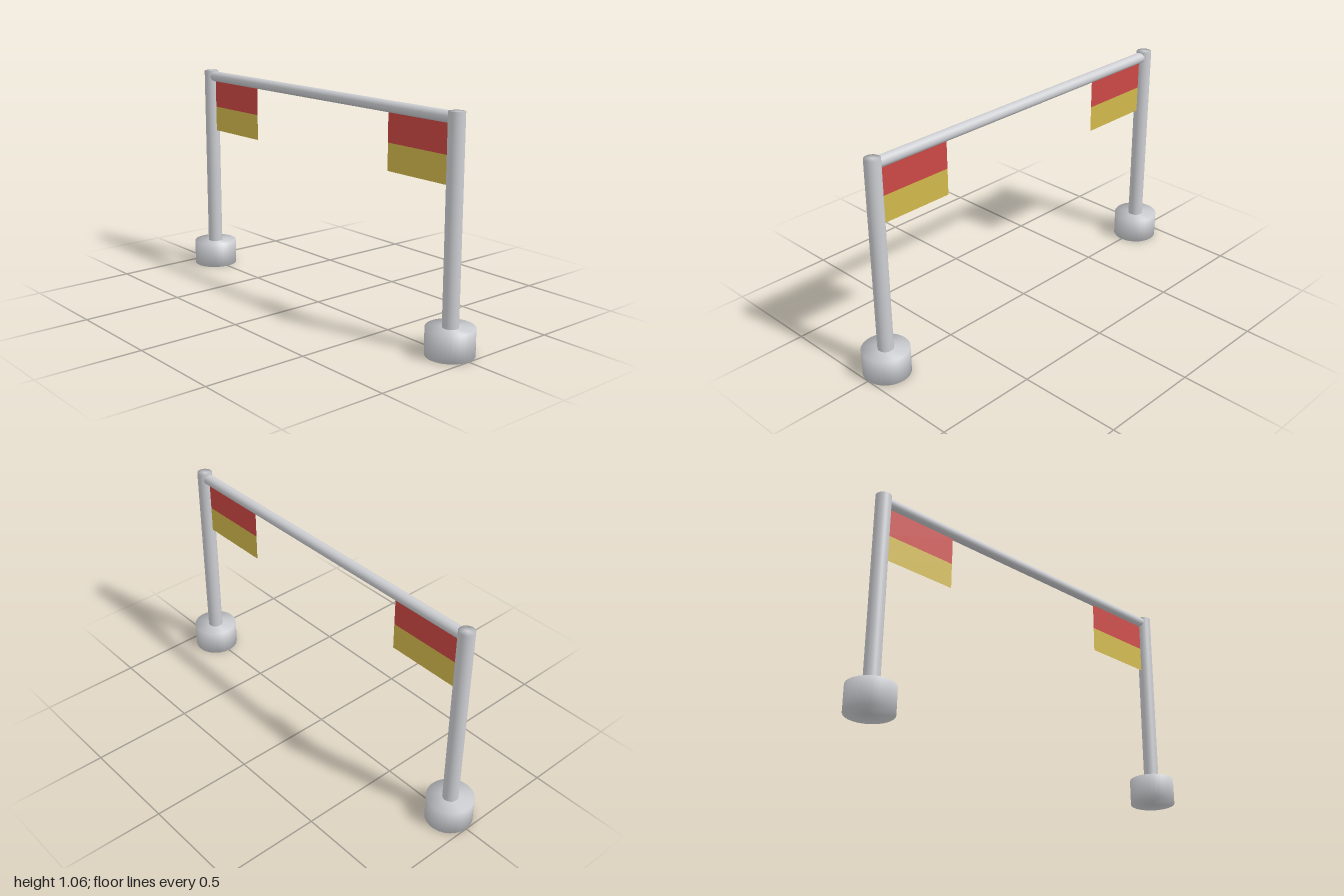
import * as THREE from 'three';
import { mergeVertices } from 'three/addons/utils/BufferGeometryUtils.js';

const metal = new THREE.MeshStandardMaterial({ name: 'light grey metal', color: 0xcdced2 });
const red = new THREE.MeshStandardMaterial({ name: 'flag red', color: 0xcc4845, side: THREE.DoubleSide });
const yellow = new THREE.MeshStandardMaterial({ name: 'flag yellow', color: 0xd1b94c, side: THREE.DoubleSide });

// Capped cylinder with normals smoothed across its rims
function softCylinder(radius, height) {
  let geometry = new THREE.CylinderGeometry(radius, radius, height, 32);
  geometry.deleteAttribute('normal');
  geometry.deleteAttribute('uv');
  geometry = mergeVertices(geometry);
  geometry.computeVertexNormals();
  return geometry;
}

export function createModel() {
  const model = new THREE.Group();
  model.name = 'flagGate';

  const add = (name, geometry, material, x, y) => {
    const mesh = new THREE.Mesh(geometry, material);
    mesh.name = name;
    mesh.position.set(x, y, 0);
    model.add(mesh);
    return mesh;
  };

  for (const [side, label] of [[1, 'left'], [-1, 'right']]) {
    // Round foot and upright post
    add(label + 'Base', softCylinder(0.111, 0.126), metal, side * 0.889, 0.063);
    add(label + 'Post', softCylinder(0.037, 0.96), metal, side * 0.889, 0.58);

    // Two-band flag hanging beside the post
    add(label + 'FlagTop', new THREE.PlaneGeometry(0.37, 0.14), red, side * 0.667, 0.94);
    add(label + 'FlagBottom', new THREE.PlaneGeometry(0.37, 0.128), yellow, side * 0.667, 0.806);
  }

  // Crossbar between the posts
  const bar = add('crossbar', softCylinder(0.0265, 1.73), metal, 0, 1.032);
  bar.rotation.z = Math.PI / 2;

  return model;
}
